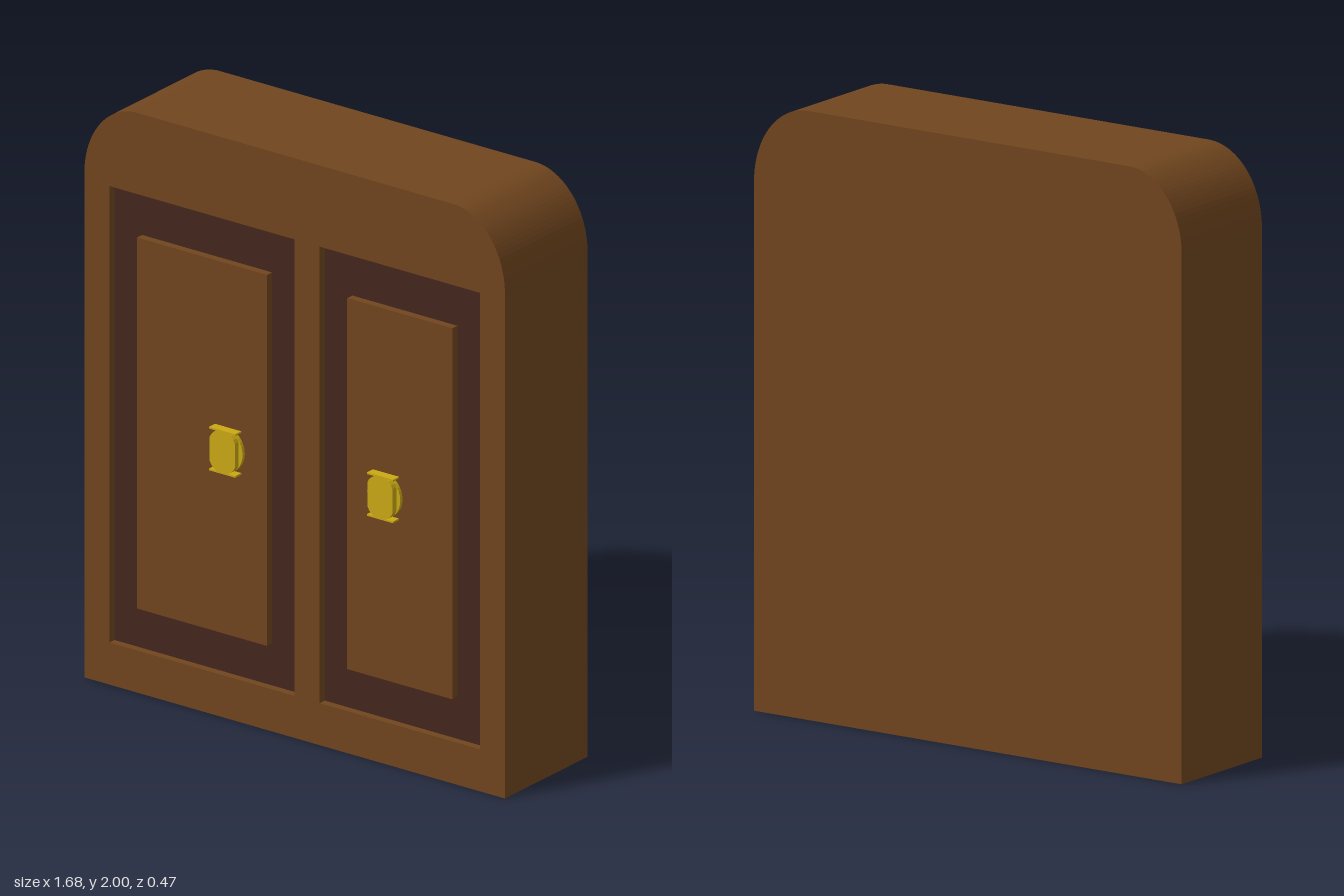
import * as THREE from 'three';

const BACK = -0.235, FRONT = 0.203, GROOVE = 0.03;

const wood = new THREE.MeshStandardMaterial({ color: 0x70451e });
const darkWood = new THREE.MeshStandardMaterial({ color: 0x44261c });
const brass = new THREE.MeshStandardMaterial({ color: 0xcaa914, side: THREE.DoubleSide });

function rect(Type, x0, x1, y0, y1) {
  const s = new Type();
  s.moveTo(x0, y0).lineTo(x1, y0).lineTo(x1, y1).lineTo(x0, y1).closePath();
  return s;
}

// Straight sides, elliptical upper corners
function bodyOutline() {
  const w = 0.84, rx = 0.21, ry = 0.26;
  const s = new THREE.Shape();
  s.moveTo(-w, 0).lineTo(w, 0).lineTo(w, 2 - ry);
  s.absellipse(w - rx, 2 - ry, rx, ry, 0, Math.PI / 2, false);
  s.lineTo(-w + rx, 2);
  s.absellipse(-w + rx, 2 - ry, rx, ry, Math.PI / 2, Math.PI, false);
  s.closePath();
  return s;
}

function slab(name, shape, z0, z1, material) {
  const g = new THREE.ExtrudeGeometry(shape, { depth: z1 - z0, bevelEnabled: false, curveSegments: 12 });
  const mesh = new THREE.Mesh(g, material);
  mesh.position.z = z0;
  mesh.name = name;
  return mesh;
}

// Ellipse with its sides cut straight at +-halfWidth
function knobFace(rx, ry, halfWidth) {
  const pts = [];
  for (let i = 0; i < 32; i++) {
    const a = (i / 32) * Math.PI * 2;
    pts.push(new THREE.Vector2(THREE.MathUtils.clamp(rx * Math.cos(a), -halfWidth, halfWidth), ry * Math.sin(a)));
  }
  return new THREE.Shape(pts);
}

function makeKnob(name, x) {
  const knob = new THREE.Group();
  knob.name = name;
  knob.add(slab('knobFace', knobFace(0.062, 0.075, 0.05), FRONT - 0.01, 0.235, brass));
  knob.add(slab('knobBase', knobFace(0.066, 0.073, 0.066), FRONT - 0.01, FRONT + 0.012, brass));
  // Thin lips across the top and bottom
  for (const s of [-1, 1]) {
    const lip = new THREE.Mesh(new THREE.BoxGeometry(0.105, 0.006, 0.235 - FRONT), brass);
    lip.position.set(0, s * 0.072, (0.235 + FRONT) / 2);
    lip.name = 'knobLip';
    knob.add(lip);
  }
  knob.position.set(x, 0.93, 0);
  return knob;
}

export function createModel() {
  const model = new THREE.Group();
  model.name = 'cabinet';

  const doors = [
    { side: 'right', outer: [-0.74, 0], inner: [-0.63, -0.11], knob: -0.265 },
    { side: 'left', outer: [0.1, 0.74], inner: [0.21, 0.63], knob: 0.365 },
  ];

  // Carcass behind, and the face frame with door openings
  const floorZ = FRONT - GROOVE;
  model.add(slab('cabinetBody', bodyOutline(), BACK, floorZ, wood));
  const frame = bodyOutline();
  for (const d of doors) frame.holes.push(rect(THREE.Path, ...d.outer, 0.145, 1.72));
  model.add(slab('faceFrame', frame, floorZ, FRONT, wood));

  // Each door: dark sunken border, raised panel and knob
  for (const d of doors) {
    const door = new THREE.Group();
    door.name = d.side + 'Door';
    const border = rect(THREE.Shape, ...d.outer, 0.145, 1.72);
    border.holes.push(rect(THREE.Path, ...d.inner, 0.29, 1.57));
    door.add(slab('doorBorder', border, floorZ, floorZ + 0.003, darkWood));
    door.add(slab('doorPanel', rect(THREE.Shape, ...d.inner, 0.29, 1.57), floorZ, FRONT, wood));
    door.add(makeKnob('doorKnob', d.knob));
    model.add(door);
  }
  return model;
}
